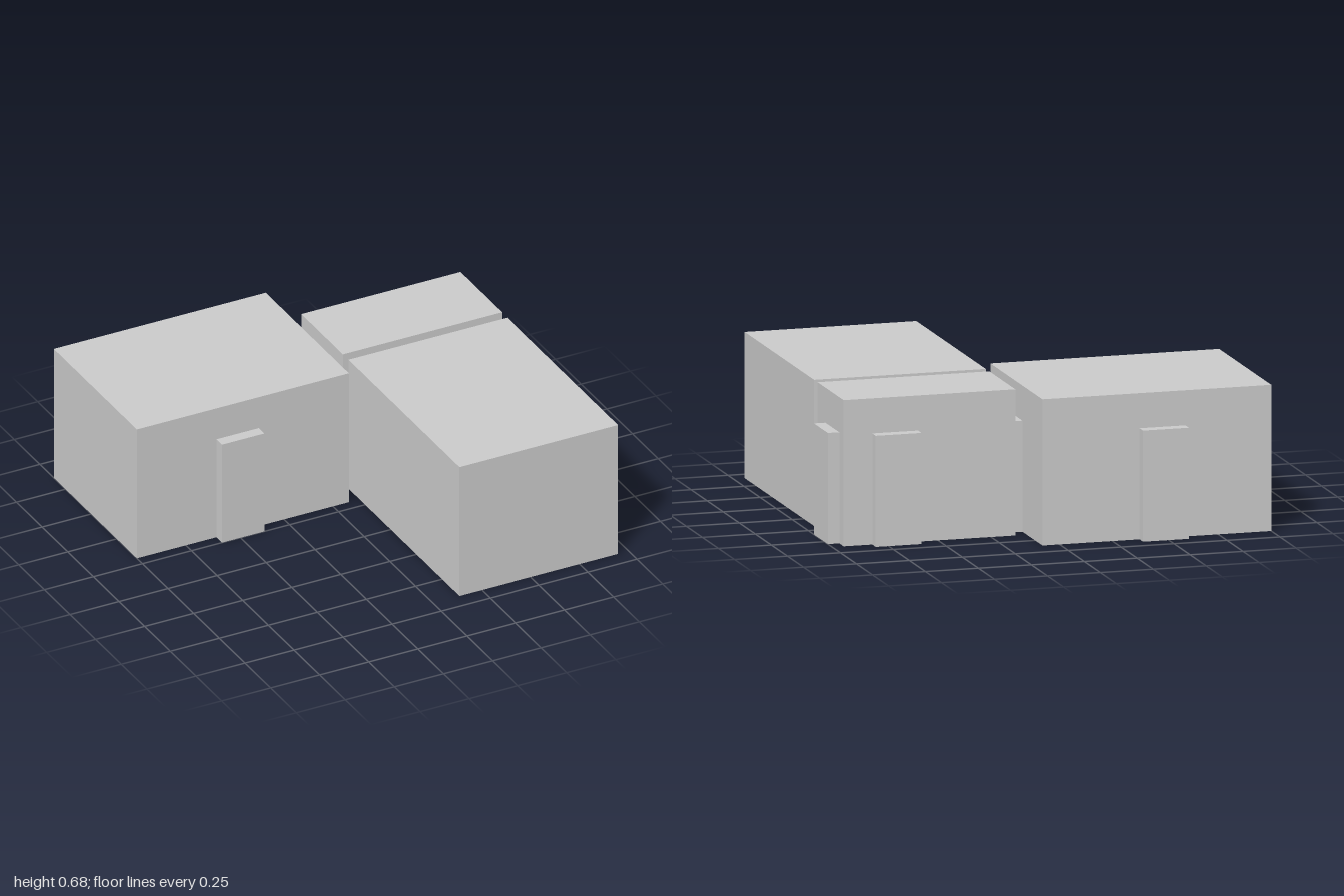
import * as THREE from 'three';

// One grid unit of the floor plan; the whole plan is 7.4 units wide.
const U = 2 / 7.4;
const ROOM_HEIGHT = 2.5;
const DOOR_HEIGHT = 1.9;

export function createModel() {
  const model = new THREE.Group();
  model.name = 'floorPlan';
  const material = new THREE.MeshStandardMaterial({ color: 0xcccccc });

  // Block standing on the ground, given by its plan extents in grid units
  function addBlock(name, x0, x1, z0, z1, height) {
    const geometry = new THREE.BoxGeometry((x1 - x0) * U, height * U, (z1 - z0) * U);
    const mesh = new THREE.Mesh(geometry, material);
    mesh.name = name;
    mesh.position.set((x0 + x1) * U / 2, height * U / 2, (z0 + z1) * U / 2);
    model.add(mesh);
  }

  // Rooms: name, x range, z range
  const rooms = [
    ['largeRoom', -3.7, 0.3, -3.2, -0.2],
    ['hallway', 0.5, 3.5, -2.3, -0.8],
    ['frontRoom', 0.5, 3.5, -0.6, 3.4],
  ];
  for (const room of rooms) addBlock(...room, ROOM_HEIGHT);

  // Doors: thin blocks filling the wall thickness between or outside rooms
  const doors = [
    ['largeRoomBackDoor', -2.2, -1.4, -3.4, -3.2],
    ['largeRoomFrontDoor', -2.2, -1.4, -0.2, 0],
    ['hallwayBackDoor', 2.2, 3, -2.5, -2.3],
    ['hallwayFrontDoor', 2.2, 3, -0.8, -0.6],
    ['hallwayRightDoor', 0.3, 0.5, -2.05, -1.25],
    ['hallwayLeftDoor', 3.5, 3.7, -2.05, -1.25],
  ];
  for (const door of doors) addBlock(...door, DOOR_HEIGHT);

  return model;
}
